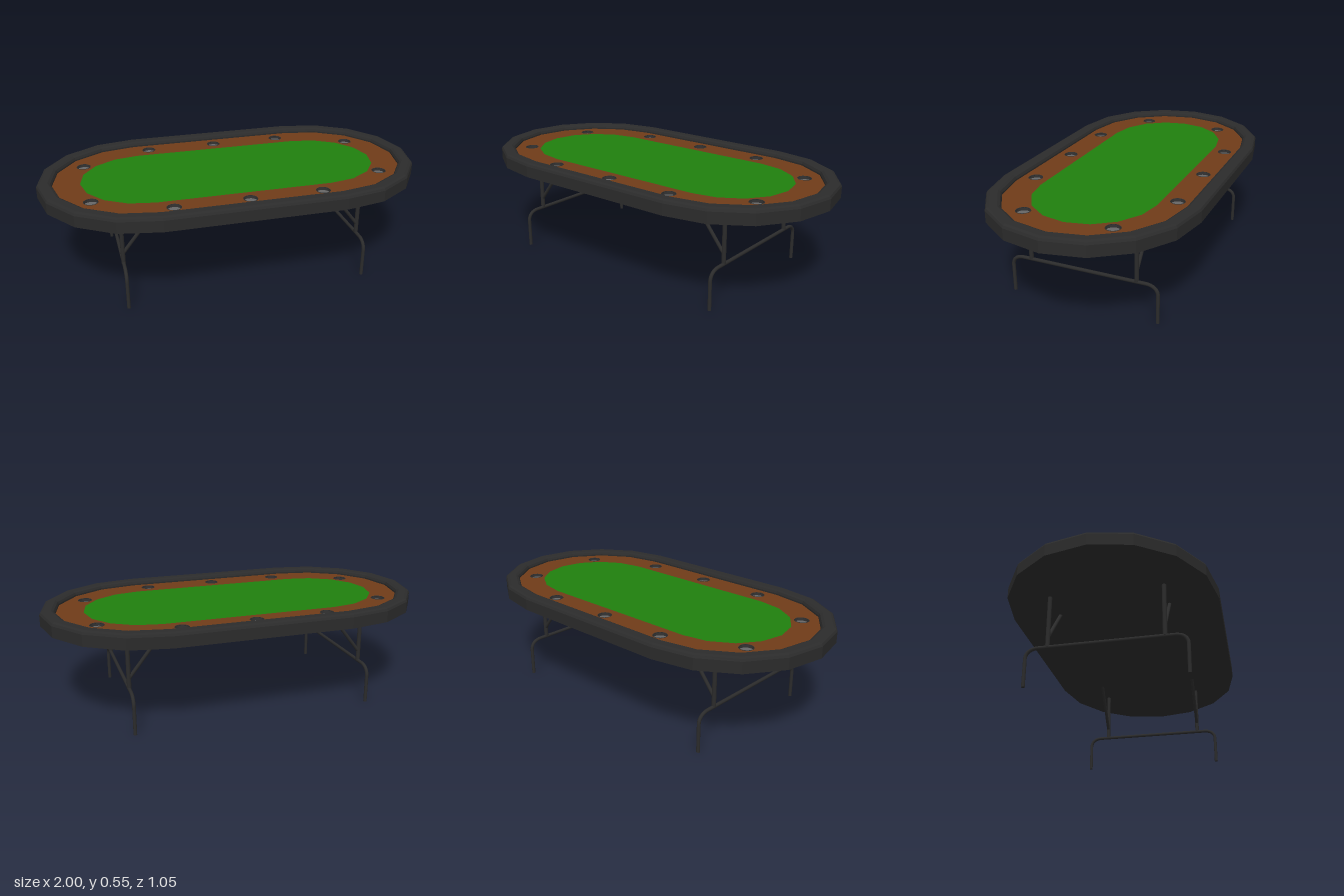
import * as THREE from 'three';

const CX = 0.45; // centre of the rounded ends
const material = (color, extra = {}) => new THREE.MeshStandardMaterial({ color, ...extra });

// Faceted stadium outline, inset from the table edge
function outline(inset) {
  const points = [];
  for (const side of [1, -1]) {
    for (let i = 0; i <= 8; i++) {
      const a = -Math.PI / 2 + (i * Math.PI) / 8;
      points.push(new THREE.Vector2(
        side * (CX + (0.55 - inset) * Math.cos(a)),
        side * (0.525 - inset) * Math.sin(a)));
    }
  }
  return points;
}

// Sweep an (inset, height) profile around the outline
function sweepRail(profile) {
  const positions = [];
  const rings = profile.map(([inset, y]) => outline(inset).map(p => [p.x, y, p.y]));
  for (let k = 0; k < rings.length - 1; k++) {
    const a = rings[k], b = rings[k + 1];
    for (let i = 0; i < a.length; i++) {
      const j = (i + 1) % a.length;
      positions.push(...a[i], ...b[i], ...b[j], ...a[i], ...b[j], ...a[j]);
    }
  }
  const geometry = new THREE.BufferGeometry();
  geometry.setAttribute('position', new THREE.Float32BufferAttribute(positions, 3));
  geometry.computeVertexNormals();
  return geometry;
}

export function createModel() {
  const model = new THREE.Group();
  model.name = 'cardTable';
  const black = material(0x2b2b2b, { flatShading: true });
  const metal = material(0x2b2b2b);
  const wood = material(0x703c18);
  const green = material(0x20800e);
  const grey = material(0x666666);
  const cupWall = material(0x333333, { side: THREE.DoubleSide });

  const add = (name, geometry, mat, parent = model) => {
    const mesh = new THREE.Mesh(geometry, mat);
    mesh.name = name;
    parent.add(mesh);
    return mesh;
  };

  // Padded rail and underside
  add('paddedRail', sweepRail([
    [0, 0.47], [0, 0.528], [0.006, 0.539], [0.018, 0.545], [0.057, 0.545],
    [0.069, 0.539], [0.075, 0.528], [0.075, 0.515],
  ]), black);
  const underside = new THREE.ShapeGeometry(new THREE.Shape(outline(0)));
  add('underside', underside.rotateX(Math.PI / 2).translate(0, 0.47, 0), black);

  // Wooden track with openings for the felt and the cup holders
  const TOP = 0.52, CUP_R = 0.035, CUP_DEPTH = 0.015;
  const cups = [];
  for (const s of [1, -1]) {
    for (const x of [-0.375, 0, 0.375]) cups.push([x, s * 0.383]);
    for (const x of [-0.75, 0.75]) cups.push([x, s * 0.225]);
  }
  const track = new THREE.Shape(outline(0.075));
  track.holes.push(new THREE.Path(outline(0.215)));
  for (const [x, z] of cups) {
    track.holes.push(new THREE.Path().absarc(x, z, CUP_R, 0, Math.PI * 2, true));
  }
  add('woodenTrack', new THREE.ShapeGeometry(track, 8).rotateX(-Math.PI / 2).translate(0, TOP, 0), wood);

  // Felt playing surface
  const felt = new THREE.ShapeGeometry(new THREE.Shape(outline(0.215)));
  add('felt', felt.rotateX(-Math.PI / 2).translate(0, TOP, 0), green);

  // Recessed cup holders
  for (const [x, z] of cups) {
    const cup = new THREE.Group();
    cup.name = 'cupHolder';
    cup.position.set(x, TOP, z);
    add('cupWall', new THREE.CylinderGeometry(CUP_R, CUP_R, CUP_DEPTH, 16, 1, true), cupWall, cup)
      .position.y = -CUP_DEPTH / 2;
    add('cupBottom', new THREE.CircleGeometry(CUP_R, 16).rotateX(-Math.PI / 2), grey, cup)
      .position.y = -CUP_DEPTH;
    add('cupRim', new THREE.TorusGeometry(CUP_R, 0.002, 4, 16).rotateX(Math.PI / 2), cupWall, cup);
    model.add(cup);
  }

  // Straight round bar between two points
  const bar = (name, from, to, radius, parent) => {
    const a = new THREE.Vector3(...from), b = new THREE.Vector3(...to);
    const dir = b.clone().sub(a);
    const mesh = add(name, new THREE.CylinderGeometry(radius, radius, dir.length(), 10), metal, parent);
    mesh.position.copy(a).add(b).multiplyScalar(0.5);
    mesh.quaternion.setFromUnitVectors(new THREE.Vector3(0, 1, 0), dir.normalize());
  };

  // Folding leg frames at both ends
  const V = (y, z) => new THREE.Vector3(0, y, z);
  for (const s of [1, -1]) {
    const frame = new THREE.Group();
    frame.name = s > 0 ? 'leftLegFrame' : 'rightLegFrame';
    frame.position.x = s * 0.622;
    // Rounded bends joining feet and crossbar
    for (const m of [1, -1]) {
      const bend = new THREE.CubicBezierCurve3(V(0.145, m * 0.387), V(0.178, m * 0.387),
        V(0.197, m * 0.362), V(0.197, m * 0.325));
      add('legBend', new THREE.TubeGeometry(bend, 8, 0.009, 10), metal, frame);
      bar('foot', [0, 0, m * 0.387], [0, 0.145, m * 0.387], 0.009, frame);
      bar('upright', [0, 0.197, m * 0.28], [0, 0.475, m * 0.28], 0.011, frame);
      bar('brace', [0, 0.25, m * 0.28], [-s * 0.178, 0.475, m * 0.28], 0.009, frame);
    }
    bar('crossbar', [0, 0.197, -0.325], [0, 0.197, 0.325], 0.009, frame);
    model.add(frame);
  }
  return model;
}
